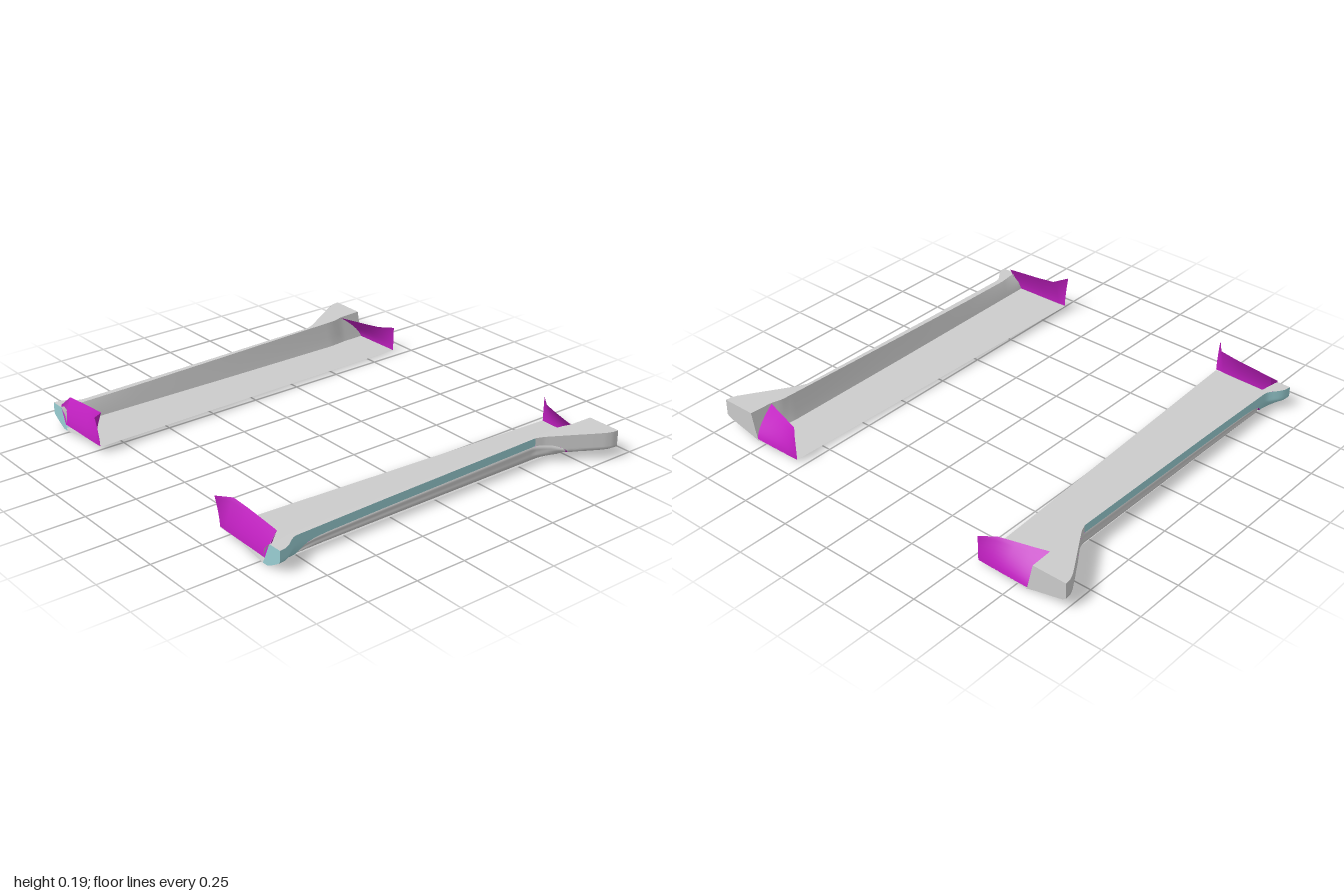
import * as THREE from 'three';

const mat = (color) => new THREE.MeshStandardMaterial({ color, side: THREE.DoubleSide });

// Piecewise linear lookup in a table of [z, value], z falling
function at(table, z) {
  if (z >= table[0][0]) return table[0][1];
  for (let i = 1; i < table.length; i++) {
    const [z1, v1] = table[i], [z0, v0] = table[i - 1];
    if (z >= z1) return v0 + ((v1 - v0) * (z - z0)) / (z1 - z0);
  }
  return table[table.length - 1][1];
}

// Surface through rows of points
function loft(name, rows, material) {
  const n = rows[0].length, index = [];
  for (let i = 0; i < rows.length - 1; i++)
    for (let j = 0; j < n - 1; j++) {
      const a = i * n + j, b = a + n;
      index.push(a, a + 1, b, b, a + 1, b + 1);
    }
  const g = new THREE.BufferGeometry();
  g.setAttribute('position', new THREE.Float32BufferAttribute(rows.flat(2), 3));
  g.setIndex(index);
  g.computeVertexNormals();
  const mesh = new THREE.Mesh(g, material);
  mesh.name = name;
  return mesh;
}

// Plan outline and heights along the skirt
const FRONT = 0.89, BACK = -0.91, SPLIT = -0.57, BASE = 0.005;
const outerX = [[0.89, 0.88], [0.86, 0.877], [0.83, 0.862], [0.8, 0.838], [0.775, 0.823], [0.3, 0.82], [-0.57, 0.822],
  [-0.61, 0.838], [-0.7, 0.893], [-0.8, 0.955], [-0.85, 0.985], [-0.88, 0.997], [-0.91, 1.0]];
const topY = [[0.89, 0.11], [0.7, 0.113], [-0.57, 0.135], [-0.91, 0.14]];
const wallTop = [[0.89, 0.81], [0.78, 0.795], [0.5, 0.793], [0, 0.798], [-0.6, 0.807], [-0.74, 0.81], [-0.79, 0.825], [-0.91, 0.83]];
const wallFoot = [[0.89, 0.765], [0, 0.772], [-0.7, 0.782], [-0.79, 0.795], [-0.91, 0.8]];
const archY = [[0.77, BASE], [0.755, 0.025], [0.735, 0.045], [0.71, 0.06], [0.67, 0.069], [0.6, 0.073], [-0.58, 0.096],
  [-0.64, 0.092], [-0.68, 0.078], [-0.71, 0.053], [-0.735, 0.023], [-0.765, BASE]];
const floorY = (z) => 0.012 + 0.02 * Math.max(0, (z - BACK) / 1.8);

// Outer face: narrow at the base, flared above at both ends
const baseX = [[0.06, 0.82], [0.02, 0.81], [BASE, 0.795]];
const flare = [[0.06, 1], [0.05, 0.92], [0.035, 0.6], [0.02, 0.25], [BASE, 0]];
const faceX = (z, y) => at(baseX, y) + (at(outerX, z) - 0.82) * at(flare, y);

const stations = (a, b, n) => Array.from({ length: n + 1 }, (_, i) => a + ((b - a) * i) / n);
const down = (a, b, n, f) => stations(a, b, n).map(f);

function createSide() {
  const side = new THREE.Group();
  const grey = mat(0xcccccc), teal = mat(0x98cdd2), magenta = mat(0xc01fc0);
  const all = stations(FRONT, BACK, 100);

  // Outer band with an arched lower edge
  const band = (z) => down(at(topY, z), at(archY, z), 12, (y) => [faceX(z, y), y, z]);
  side.add(loft('outerBand', stations(FRONT, SPLIT, 90).map(band), teal));
  side.add(loft('rearFlare', stations(SPLIT, BACK, 36).map(band), grey));

  // Recessed sill with two soft ribs, and the step around it
  const inset = (z, y) => faceX(z, y) - 0.012;
  const sillZ = stations(0.77, -0.765, 100);
  side.add(loft('sill', sillZ.map((z) => {
    const edge = at(archY, z), size = Math.min(1, (edge - BASE) / 0.06);
    return down(0, 1, 16, (t) => {
      const y = edge + (BASE - edge) * t;
      const rib = 0.01 * Math.sin(Math.PI * t) + 0.003 * Math.sin(4 * Math.PI * t);
      return [inset(z, y) + rib * size, y, z];
    });
  }), grey));
  side.add(loft('sillEdge', sillZ.map((z) => {
    const y = at(archY, z);
    return [[faceX(z, y), y, z], [inset(z, y), y, z]];
  }), magenta));

  // Top lip and sloping inner wall
  side.add(loft('topLip', all.map((z) => [
    [at(wallTop, z), at(topY, z), z], [at(outerX, z), at(topY, z), z]]), grey));
  side.add(loft('innerWall', all.map((z) => [
    [at(wallFoot, z), floorY(z), z],
    [at(wallFoot, z) + 0.012, floorY(z) + 0.045, z],
    [at(wallTop, z), at(topY, z), z]]), grey));

  // Tapering floor plate and the underside of the sill
  side.add(loft('floorPlate', all.map((z) => [
    [0.54 - (0.07 * (z - BACK)) / 1.8, floorY(z) + 0.004, z],
    [at(wallFoot, z), floorY(z), z]]), grey));
  side.add(loft('underside', all.map((z) => [
    [at(wallFoot, z) - 0.15, floorY(z) - 0.002, z],
    [at(wallFoot, z), BASE, z],
    [faceX(z, BASE), BASE, z]]), grey));

  // Closed ends of the rocker
  for (const [name, z, m] of [['frontEnd', FRONT, teal], ['rearEnd', BACK, grey]])
    side.add(loft(name, down(at(topY, z), BASE, 12, (y) => {
      const t = Math.min(1, Math.max(0, (y - BASE) / (at(topY, z) - BASE)));
      const inner = at(wallFoot, z) + (at(wallTop, z) - at(wallFoot, z)) * t;
      return [[inner, y, z], [faceX(z, y), y, z]];
    }), m));

  // Curved wheel arch flanges at both ends
  const flange = (name, foot, rim, bow) => side.add(loft(name, foot.map((p, i) =>
    down(0, 1, 8, (t) => [
      p[0] + (rim[i][0] - p[0]) * t,
      p[1] + (rim[i][1] - p[1]) * t,
      p[2] + (rim[i][2] - p[2]) * Math.pow(t, bow)])), magenta));
  flange('frontFlange',
    [[0.47, 0.04, 0.89], [0.51, 0.038, 0.89], [0.6, 0.036, 0.89], [0.7, 0.035, 0.89], [0.78, 0.033, 0.89]],
    [[0.468, 0.19, 0.912], [0.515, 0.18, 0.85], [0.61, 0.17, 0.845], [0.72, 0.16, 0.845], [0.8, 0.152, 0.845]], 1.5);
  flange('rearFlange',
    [[0.54, 0.016, -0.91], [0.61, 0.014, -0.91], [0.68, 0.013, -0.91], [0.75, 0.012, -0.91], [0.8, 0.012, -0.91]],
    [[0.54, 0.14, -0.912], [0.6, 0.138, -0.86], [0.68, 0.136, -0.835], [0.76, 0.135, -0.812], [0.83, 0.135, -0.79]], 1.5);
  // Outer return joining the front flange to the rocker
  side.add(loft('frontFlangeReturn', [
    [[0.78, 0.033, 0.89], [0.79, 0.09, 0.87], [0.8, 0.152, 0.845]],
    [[0.785, 0.033, 0.89], [0.81, 0.09, 0.888], [0.815, 0.12, 0.885]]], magenta));
  return side;
}

export function createModel() {
  const model = new THREE.Group();
  model.name = 'sideSkirts';
  for (const s of [1, -1]) {
    const side = createSide();
    side.name = s > 0 ? 'leftSkirt' : 'rightSkirt';
    side.scale.x = s;
    model.add(side);
  }
  return model;
}
